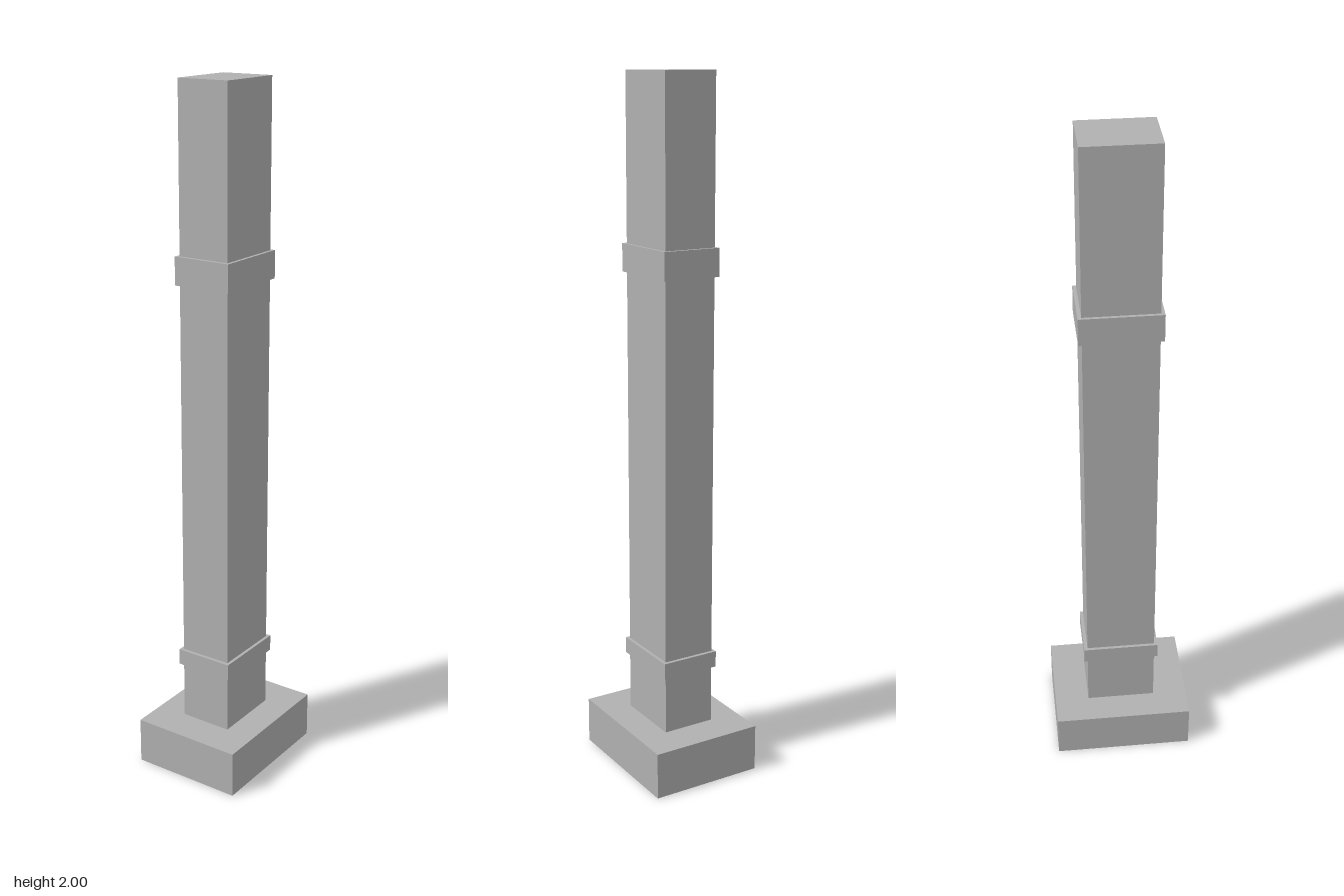
import * as THREE from 'three';

export function createModel() {
  const group = new THREE.Group();
  const stone = new THREE.MeshStandardMaterial({ color: 0xb0b0b0 });
  stone.name = 'grey stone';

  // Box centred on the vertical axis, spanning two heights
  const block = (name, width, depth, bottom, top) => {
    const mesh = new THREE.Mesh(new THREE.BoxGeometry(width, top - bottom, depth), stone);
    mesh.name = name;
    mesh.position.y = (bottom + top) / 2;
    group.add(mesh);
  };

  block('base', 0.334, 0.412, 0, 0.137);
  block('shaft', 0.156, 0.206, 0.137, 2);
  // Raised collars around the shaft
  block('lowerBand', 0.174, 0.226, 0.31, 0.358);
  block('upperBand', 0.174, 0.226, 1.457, 1.536);

  return group;
}
